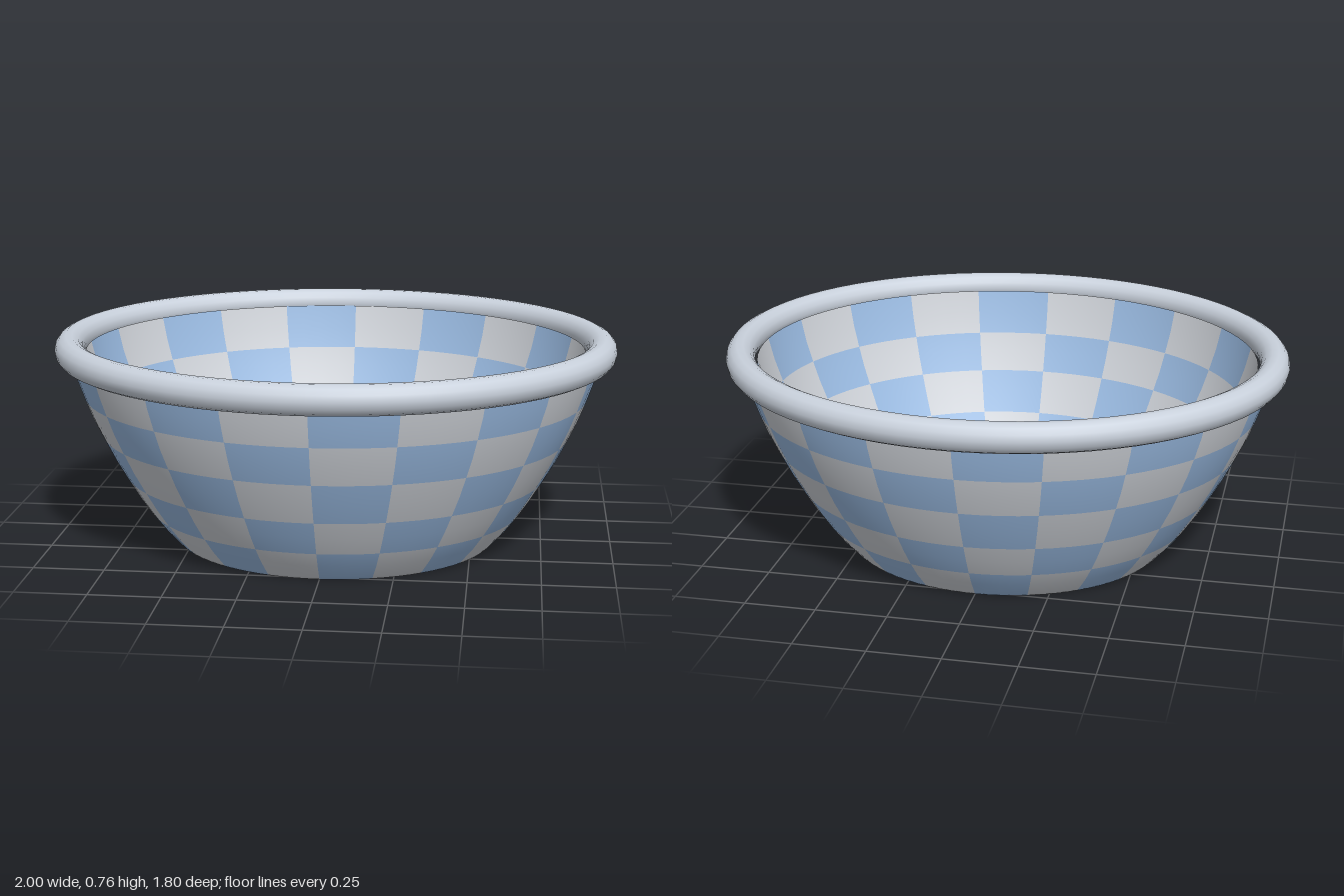
import * as THREE from 'three';

const COLUMNS = 20;          // checks around the bowl
const SEGS_PER_CHECK = 4;
const DEPTH = 0.9;           // oval: depth relative to width

function material(name, color) {
  const m = new THREE.MeshStandardMaterial({ color });
  m.name = name;
  return m;
}

// Outer wall as [height, radius]; every second point starts a new row of checks
const OUTER = [
  [0.012, 0.587], [0.065, 0.635], [0.12, 0.677], [0.185, 0.721], [0.25, 0.76],
  [0.325, 0.803], [0.4, 0.84], [0.47, 0.873], [0.54, 0.9], [0.62, 0.928], [0.7, 0.948],
];
const WALL = 0.058;

function checkeredWall(materials) {
  const last = OUTER.length - 1;
  // Down the inside, around the bottom lip, up the outside
  const profile = [], rows = [];
  for (let i = last; i >= 0; i--) {
    profile.push(new THREE.Vector2(OUTER[i][1] - WALL, OUTER[i][0]));
    if (i > 0) rows.push(Math.floor((last - i) / 2));
  }
  profile.push(new THREE.Vector2(0.54, 0), new THREE.Vector2(0.575, 0));
  rows.push(4, 4, 4);
  for (let i = 0; i <= last; i++) {
    profile.push(new THREE.Vector2(OUTER[i][1], OUTER[i][0]));
    if (i < last) rows.push(Math.floor((last - 1 - i) / 2));
  }

  const segments = COLUMNS * SEGS_PER_CHECK;
  const geo = new THREE.LatheGeometry(profile, segments);
  geo.scale(1, 1, DEPTH);

  // Sort the faces into the two check colours
  const source = geo.index.array, sorted = [[], []];
  for (let s = 0; s < segments; s++) {
    const column = Math.floor(s / SEGS_PER_CHECK);
    rows.forEach((row, j) => {
      const start = (s * rows.length + j) * 6;
      sorted[(row + column) % 2].push(...source.slice(start, start + 6));
    });
  }
  geo.setIndex([...sorted[0], ...sorted[1]]);
  geo.clearGroups();
  geo.addGroup(0, sorted[0].length, 0);
  geo.addGroup(sorted[0].length, sorted[1].length, 1);
  const mesh = new THREE.Mesh(geo, materials);
  mesh.name = 'checkeredWall';
  return mesh;
}

// Rolled tube around the top edge
function rolledRim(mat) {
  const geo = new THREE.TorusGeometry(0.948, 0.052, 14, 80);
  geo.rotateX(Math.PI / 2);
  geo.scale(1, 1, DEPTH);
  geo.translate(0, 0.708, 0);
  const mesh = new THREE.Mesh(geo, mat);
  mesh.name = 'rim';
  return mesh;
}

export function createModel() {
  const blue = material('checkBlue', 0x9abbe2);
  const grey = material('checkGrey', 0xcfd3d9);
  const rimGrey = material('rimGrey', 0xc9d1dc);
  const model = new THREE.Group();
  model.name = 'openBowl';
  model.add(checkeredWall([blue, grey]), rolledRim(rimGrey));
  return model;
}
